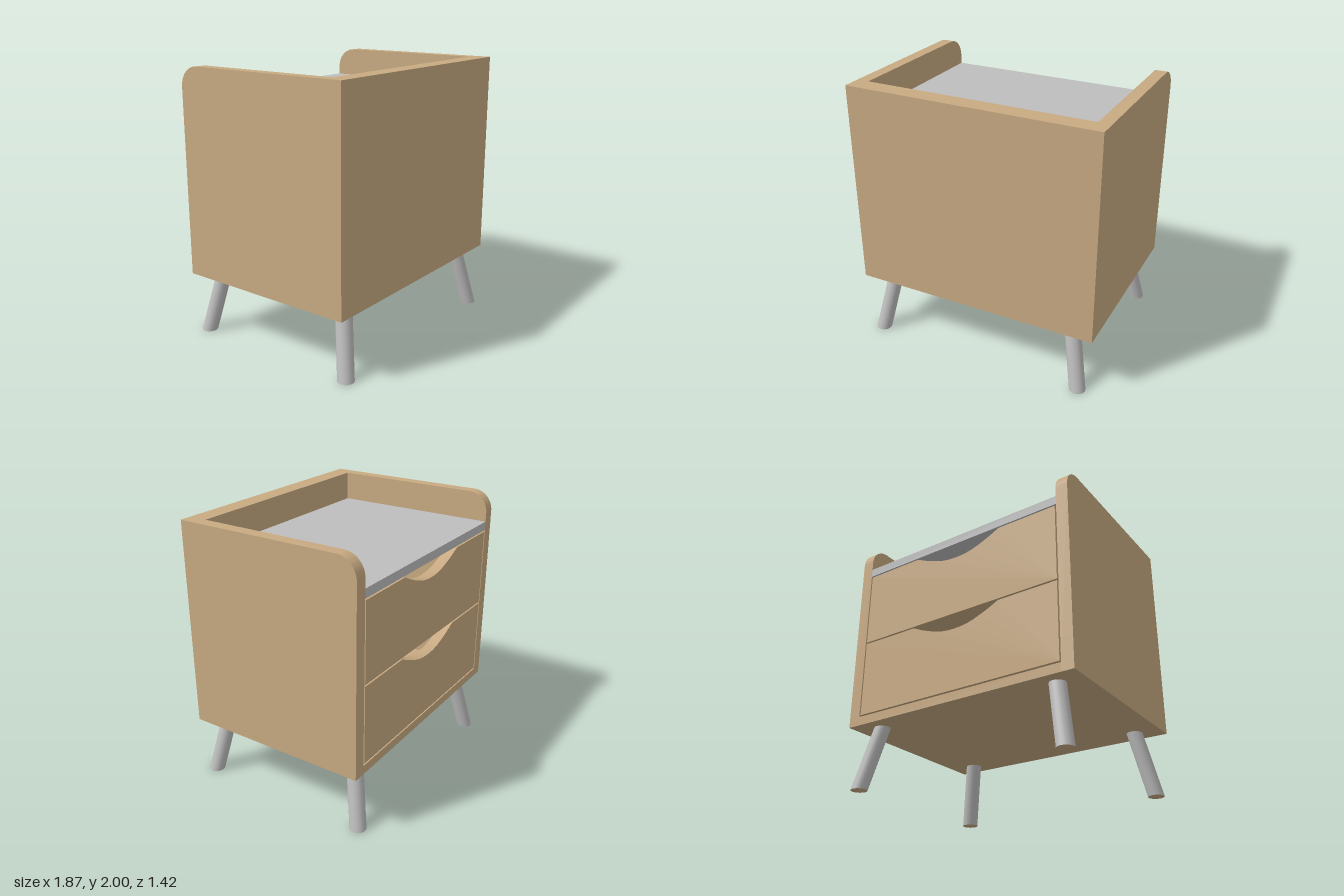
import * as THREE from 'three';
import { toCreasedNormals } from 'three/addons/utils/BufferGeometryUtils.js';

export function createModel() {
  const wood = new THREE.MeshStandardMaterial({ color: 0xc8aa82 });
  wood.name = 'wood';
  const grey = new THREE.MeshStandardMaterial({ color: 0xbebebe });
  grey.name = 'grey';

  const model = new THREE.Group();
  model.name = 'nightstand';

  const add = (parent, name, geometry, material) => {
    const mesh = new THREE.Mesh(geometry, material);
    mesh.name = name;
    parent.add(mesh);
    return mesh;
  };
  // Box given by its extents on each axis
  const box = (parent, name, material, [x0, x1], [y0, y1], [z0, z1]) => {
    const g = new THREE.BoxGeometry(x1 - x0, y1 - y0, z1 - z0);
    g.translate((x0 + x1) / 2, (y0 + y1) / 2, (z0 + z1) / 2);
    return add(parent, name, g, material);
  };

  const outer = 0.934, inner = 0.843;
  const bottom = 0.47, top = 2;
  const open = -0.7, wall = 0.558, end = 0.695;

  // Side panels with a rounded upper corner at the drawer side
  const r = 0.15;
  const profile = new THREE.Shape();
  profile.moveTo(-end, bottom);
  profile.lineTo(-open, bottom);
  profile.lineTo(-open, top - r);
  profile.absarc(-open - r, top - r, r, 0, Math.PI / 2, false);
  profile.lineTo(-end, top);
  profile.closePath();
  for (const [name, x] of [['leftSide', inner], ['rightSide', -outer]]) {
    const g = new THREE.ExtrudeGeometry(profile, {
      depth: outer - inner, bevelEnabled: false, curveSegments: 12,
    });
    g.rotateY(Math.PI / 2);
    g.translate(x, 0, 0);
    add(model, name, toCreasedNormals(g, 0.5), wood);
  }

  // Rest of the carcass
  box(model, 'wallPanel', wood, [-inner, inner], [bottom, top], [wall, end]);
  box(model, 'bottomPanel', wood, [-inner, inner], [bottom, 0.535], [open, wall]);
  box(model, 'shelf', grey, [-inner, inner], [1.72, 1.785], [open, wall]);

  // Drawers: a face with a scooped grip and an open box behind it
  const w = 0.832, h = 0.575, thick = 0.08;
  const face = new THREE.Shape();
  face.moveTo(-w, 0);
  face.lineTo(w, 0);
  face.lineTo(w, h);
  face.lineTo(0.37, h);
  face.splineThru([[0.25, 0.055], [0.12, 0.098], [0, 0.11], [-0.12, 0.098], [-0.25, 0.055], [-0.37, 0]]
    .map(([x, d]) => new THREE.Vector2(x, h - d)));
  face.lineTo(-w, h);
  face.closePath();
  [['lowerDrawer', 0.547], ['upperDrawer', 1.134]].forEach(([name, y]) => {
    const drawer = new THREE.Group();
    drawer.name = name;
    drawer.position.y = y;
    model.add(drawer);

    const g = new THREE.ExtrudeGeometry(face, { depth: thick, bevelEnabled: false, curveSegments: 24 });
    g.translate(0, 0, open);
    add(drawer, 'drawerFace', toCreasedNormals(g, 0.4), wood);

    const z0 = open + thick, z1 = 0.53, tall = 0.45;
    box(drawer, 'drawerFloor', wood, [-0.82, 0.82], [0.02, 0.05], [z0, z1]);
    box(drawer, 'drawerRear', wood, [-0.78, 0.78], [0.05, tall], [z1 - 0.04, z1]);
    for (const x of [-0.82, 0.78]) {
      box(drawer, 'drawerSide', wood, [x, x + 0.04], [0.05, tall], [z0, z1]);
    }
  });

  // Splayed legs: cylinders sheared outwards so both ends stay level
  for (const sx of [-1, 1]) {
    for (const sz of [-1, 1]) {
      const g = new THREE.CylinderGeometry(0.059, 0.059, bottom, 20);
      g.translate(0, bottom / 2, 0);
      const shear = new THREE.Matrix4().set(
        1, -sx * 0.198, 0, sx * 0.83,
        0, 1, 0, 0,
        0, -sz * 0.194, 1, sz * 0.653,
        0, 0, 0, 1);
      g.applyMatrix4(shear);
      // Grey sides, wooden end faces
      add(model, 'leg', g, [grey, wood, wood]);
    }
  }
  return model;
}
